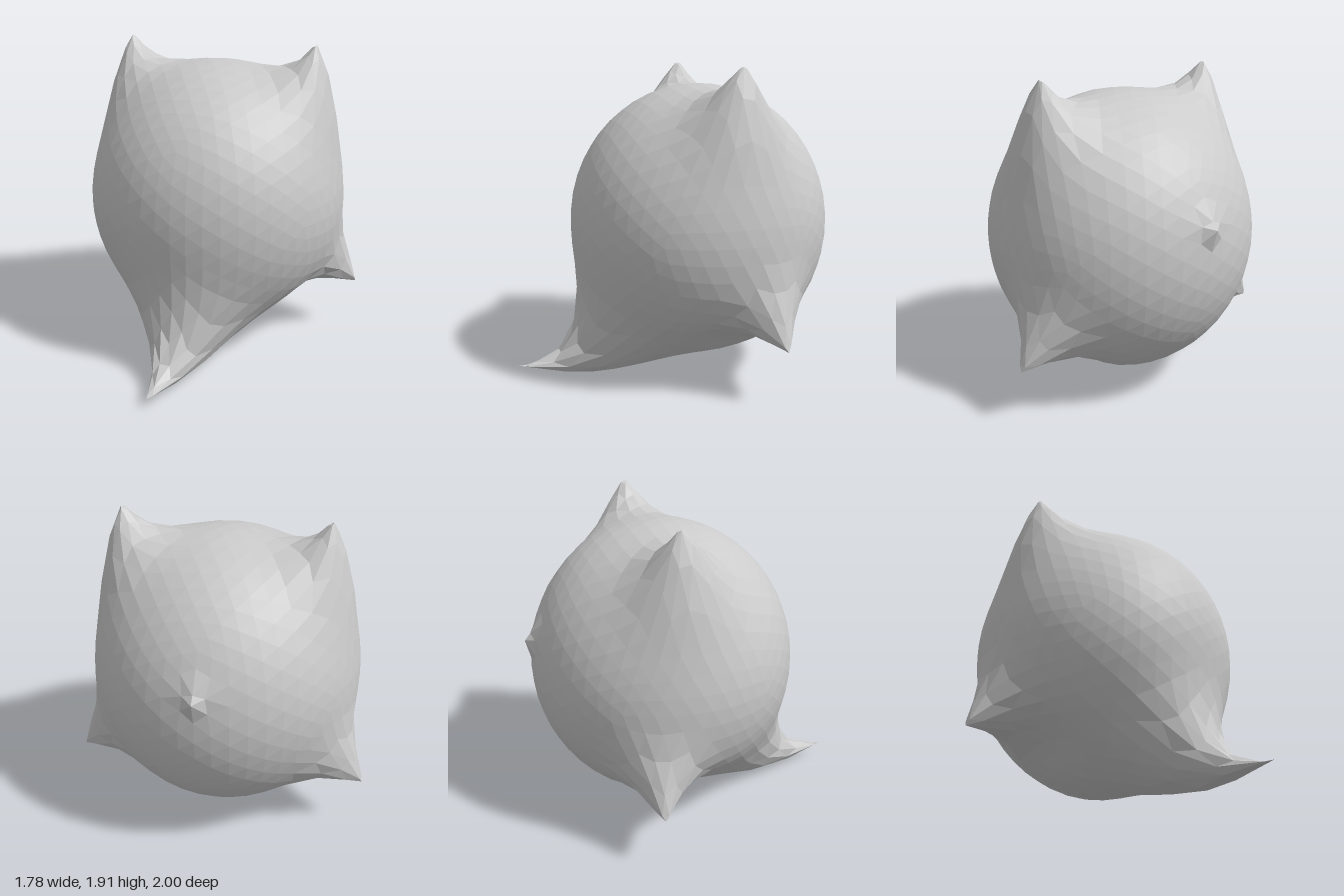
import * as THREE from 'three';
import { mergeVertices } from 'three/addons/utils/BufferGeometryUtils.js';

const V = (x, y, z) => new THREE.Vector3(x, y, z);
const DEG = Math.PI / 180;

// Body ellipsoid
const CENTRE = V(0, 0.95, -0.165);
const RADII = V(0.81, 0.86, 0.805);

// Points pulled out of the body: where, how far, falloff (degrees) and
// falloff power (1 = pointed, 2 = rounded). gather = reach of mesh refinement.
const PULLS = [
  // snout: full base, then a slim point
  { dir: V(0, -0.755, 0.656), offset: V(0, -0.285, 0.2), fall: 20, power: 2 },
  { dir: V(0, -0.755, 0.656), offset: V(0, 0.075, 0.437), fall: 7, power: 1.2, gather: 28 },
  // back nub
  { dir: V(0, 0.24, -0.97), offset: V(0, 0, -0.055), fall: 4, power: 2, gather: 12 },
];
for (const s of [1, -1]) {
  PULLS.push(
    // ear: broad shoulder, then the tip
    { dir: V(0.705 * s, 0.707, -0.06), offset: V(0.11 * s, 0.1, 0), fall: 19, power: 2 },
    { dir: V(0.705 * s, 0.707, -0.06), offset: V(-0.075 * s, 0.265, -0.01), fall: 11, power: 1.5, gather: 25 },
    // side fin: broad flank, then the tip
    { dir: V(0.82 * s, -0.5, -0.28), offset: V(0.05 * s, 0, 0), fall: 15, power: 2 },
    { dir: V(0.82 * s, -0.5, -0.28), offset: V(0.18 * s, -0.18, -0.02), fall: 9.5, power: 1.4, gather: 25 },
    // tucked-in underside below the fin
    { dir: V(0.6 * s, -0.8, 0), offset: V(-0.02 * s, 0.07, 0), fall: 18, power: 2 },
  );
}
PULLS.forEach((p) => p.dir.normalize());

// Put one vertex exactly on each tip and draw its neighbours closer
function gatherVertices(dirs) {
  for (const { dir, gather } of PULLS.filter((p) => p.gather)) {
    let nearest = null;
    for (const d of dirs) {
      if (dir.x === 0 && Math.abs(d.x) > 1e-4) continue;
      if (!nearest || d.dot(dir) > nearest.dot(dir)) nearest = d;
    }
    nearest.copy(dir);
    for (const d of dirs) {
      const a = d.angleTo(dir) / DEG;
      if (a < 1e-3 || a >= gather) continue;
      const axis = V().crossVectors(dir, d).normalize();
      d.copy(dir).applyAxisAngle(axis, gather * Math.pow(a / gather, 1.6) * DEG);
    }
  }
}

function bodyGeometry() {
  let geo = new THREE.IcosahedronGeometry(1, 8);
  geo.deleteAttribute('normal');
  geo.deleteAttribute('uv');
  geo = mergeVertices(geo, 1e-4);
  const pos = geo.attributes.position;
  const dirs = [];
  for (let i = 0; i < pos.count; i++) dirs.push(V().fromBufferAttribute(pos, i).normalize());
  gatherVertices(dirs);

  dirs.forEach((d, i) => {
    const p = d.clone().multiply(RADII).add(CENTRE);
    for (const { dir, offset, fall, power } of PULLS) {
      const a = d.angleTo(dir) / DEG;
      p.addScaledVector(offset, Math.exp(-Math.pow(a / fall, power)));
    }
    pos.setXYZ(i, p.x, p.y, p.z);
  });

  // stand on the ground
  geo.computeBoundingBox();
  geo.translate(0, -geo.boundingBox.min.y, 0);
  geo.computeVertexNormals();
  return geo;
}

export function createModel() {
  const group = new THREE.Group();
  group.name = 'spikedBlob';
  const material = new THREE.MeshStandardMaterial({ color: 0xcccccc, flatShading: true });
  const body = new THREE.Mesh(bodyGeometry(), material);
  body.name = 'body';
  group.add(body);
  return group;
}
